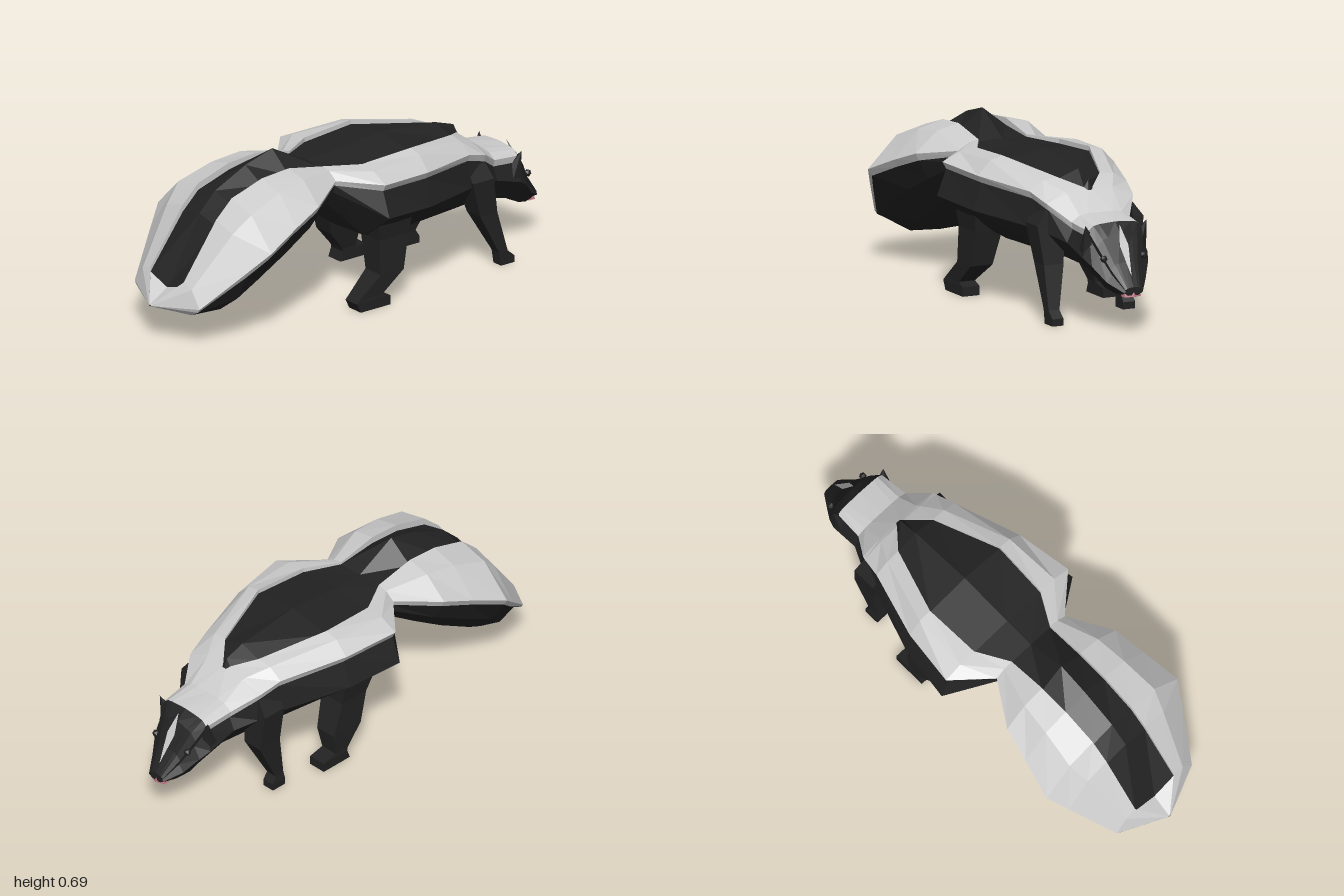
import * as THREE from 'three';

const fur = (color) => new THREE.MeshStandardMaterial({ color, flatShading: true });
const dark = fur(0x222222), light = fur(0xcccccc), pink = fur(0xb8707c);

function meshFrom(positions, material, name) {
  const g = new THREE.BufferGeometry();
  g.setAttribute('position', new THREE.Float32BufferAttribute(positions, 3));
  g.computeVertexNormals();
  const m = new THREE.Mesh(g, material);
  m.name = name;
  return m;
}

// Skin a list of rings; isLight(ringIndex, band) picks the fur colour
function skin(name, rings, isLight = () => false, capStart = true, capEnd = true) {
  const out = { dark: [], light: [] };
  const n = rings[0].length;
  const tri = (list, ...pts) => pts.forEach((p) => list.push(...p));
  for (let s = 0; s < rings.length - 1; s++) {
    for (let i = 0; i < n; i++) {
      const j = (i + 1) % n, a = rings[s], b = rings[s + 1];
      const list = isLight(s, Math.min(i, n - 1 - i)) ? out.light : out.dark;
      tri(list, a[i], b[i], a[j]);
      tri(list, a[j], b[i], b[j]);
    }
  }
  const first = rings[0], last = rings[rings.length - 1];
  for (let i = 1; i < n - 1; i++) {
    if (capStart) tri(out.dark, first[0], first[i], first[i + 1]);
    if (capEnd) tri(out.dark, last[0], last[i + 1], last[i]);
  }
  const group = new THREE.Group();
  group.name = name;
  if (out.dark.length) group.add(meshFrom(out.dark, dark, name + 'DarkFur'));
  if (out.light.length) group.add(meshFrom(out.light, light, name + 'LightFur'));
  return group;
}

// Cross-section: ridge, sunken stripe edge, light fur with a lip, flank and belly
function ring([z, top, sx, sy, ex, ey, dx, dy, bottom, groove = 0]) {
  const half = [
    [0, top], [sx, sy - groove], [sx, sy],
    [(sx + ex) / 2, sy * 0.8 + ey * 0.2],
    [ex, ey], [ex * 0.95, ey - Math.min(0.03, (ey - dy) * 0.4)],
    [dx, dy], [dx * 0.55, bottom + (dy - bottom) * 0.08], [0, bottom],
  ];
  const mirrored = half.slice(1, -1).reverse().map(([x, y]) => [-x, y]);
  return [...half, ...mirrored].map(([x, y]) => [x, y, z]);
}

// Leg levels, bottom up: [y, rear z, front z, inner x, outer x]
function leg(name, side, levels) {
  return skin(name, levels.map(([y, back, front, inner, outer]) => {
    const [x0, x1] = side > 0 ? [inner, outer] : [-outer, -inner];
    return [[x0, y, front], [x1, y, front], [x1, y, back], [x0, y, back]];
  }));
}

export function createModel() {
  const model = new THREE.Group();
  model.name = 'stripedAnimal';

  // z, ridge y, stripe x y, light edge x y, flank x y, belly y, groove depth
  const neck = [-0.7, 0.455, 0.06, 0.455, 0.135, 0.425, 0.155, 0.34, 0.235];
  const rump = [0.18, 0.6, 0.11, 0.605, 0.195, 0.565, 0.18, 0.51, 0.45, 0.01];
  const headRings = [
    [-0.998, 0.195, 0.02, 0.193, 0.038, 0.185, 0.042, 0.172, 0.16],
    [-0.93, 0.29, 0.035, 0.285, 0.07, 0.26, 0.09, 0.21, 0.155],
    [-0.875, 0.4, 0.055, 0.385, 0.105, 0.35, 0.13, 0.27, 0.17],
    [-0.83, 0.44, 0.075, 0.435, 0.125, 0.41, 0.15, 0.3, 0.2],
    neck,
  ].map(ring);
  const bodyRings = [
    neck,
    [-0.605, 0.53, 0.01, 0.53, 0.2, 0.49, 0.205, 0.37, 0.25],
    [-0.59, 0.57, 0.02, 0.54, 0.205, 0.495, 0.21, 0.37, 0.25],
    [-0.5, 0.6, 0.1, 0.575, 0.225, 0.525, 0.235, 0.38, 0.25, 0.01],
    [-0.21, 0.63, 0.2, 0.62, 0.315, 0.545, 0.335, 0.4, 0.26, 0.02],
    [0.04, 0.605, 0.19, 0.605, 0.35, 0.56, 0.375, 0.42, 0.285, 0.02],
    rump,
  ].map(ring);
  const tailRings = [
    rump,
    [0.36, 0.695, 0.11, 0.64, 0.31, 0.53, 0.25, 0.42, 0.335, 0.03],
    [0.5, 0.655, 0.11, 0.63, 0.34, 0.48, 0.27, 0.35, 0.245, 0.03],
    [0.66, 0.58, 0.11, 0.58, 0.375, 0.415, 0.28, 0.27, 0.155, 0.03],
    [0.74, 0.5, 0.11, 0.505, 0.325, 0.34, 0.25, 0.2, 0.112, 0.03],
    [0.91, 0.215, 0.11, 0.27, 0.215, 0.18, 0.16, 0.14, 0.128, 0.02],
    [1.0, 0.158, 0.005, 0.158, 0.008, 0.156, 0.006, 0.155, 0.153],
  ].map(ring);
  model.add(
    skin('head', headRings, (s, band) => s === 3 && band < 5, true, false),
    skin('body', bodyRings, (s, band) => band < 5 && (band > 0 || s === 0), false, false),
    skin('tail', tailRings, (s, band) => s === 5 || (band > 0 && band < 5), false, true),
  );

  // Light blaze on the forehead
  const top = [0, 0.437, -0.868], tip = [0, 0.235, -0.98];
  const l = [-0.02, 0.355, -0.912], r = [0.02, 0.355, -0.912];
  const blaze = meshFrom([top, r, l, l, r, tip].flat(), light.clone(), 'blaze');
  blaze.material.side = THREE.DoubleSide;
  model.add(blaze);

  // Pink nose
  const nose = new THREE.Mesh(new THREE.CylinderGeometry(0.03, 0.045, 0.036, 6), pink);
  nose.name = 'nose';
  nose.scale.z = 0.65;
  nose.position.set(0, 0.172, -0.974);
  model.add(nose);

  // Ears and eyes
  for (const side of [-1, 1]) {
    const ear = new THREE.Mesh(new THREE.ConeGeometry(0.045, 0.11, 6), dark);
    ear.name = 'ear';
    ear.scale.z = 0.8;
    ear.position.set(side * 0.125, 0.385, -0.825);
    ear.rotation.set(-0.25, 0, -side * 0.3);
    const eye = new THREE.Mesh(new THREE.IcosahedronGeometry(0.016, 0), dark);
    eye.name = 'eye';
    eye.position.set(side * 0.092, 0.305, -0.908);
    model.add(ear, eye);
  }

  // Legs in mid-stride
  model.add(
    leg('leftHindLeg', 1, [
      [0, 0.125, -0.03, 0.215, 0.292], [0.04, 0.145, -0.03, 0.215, 0.292],
      [0.055, 0.13, 0.01, 0.215, 0.29], [0.14, 0.02, -0.1, 0.19, 0.292],
      [0.29, 0.02, -0.13, 0.16, 0.285], [0.42, 0.04, -0.15, 0.15, 0.3]]),
    leg('rightHindLeg', -1, [
      [0, -0.165, -0.315, 0.21, 0.29], [0.04, -0.18, -0.315, 0.21, 0.29],
      [0.055, -0.175, -0.245, 0.21, 0.288], [0.145, -0.1, -0.255, 0.19, 0.288],
      [0.28, -0.06, -0.2, 0.16, 0.28], [0.42, 0, -0.19, 0.15, 0.3]]),
    leg('leftForeLeg', 1, [
      [0, -0.655, -0.725, 0.185, 0.235], [0.03, -0.65, -0.725, 0.185, 0.235],
      [0.06, -0.645, -0.69, 0.185, 0.235], [0.24, -0.55, -0.64, 0.14, 0.23],
      [0.4, -0.5, -0.61, 0.12, 0.245], [0.46, -0.5, -0.6, 0.12, 0.2]]),
    leg('rightForeLeg', -1, [
      [0, -0.485, -0.555, 0.18, 0.235], [0.03, -0.485, -0.555, 0.18, 0.235],
      [0.06, -0.49, -0.535, 0.18, 0.23], [0.24, -0.51, -0.625, 0.14, 0.23],
      [0.4, -0.5, -0.61, 0.12, 0.245], [0.46, -0.5, -0.6, 0.12, 0.2]]),
  );
  return model;
}
